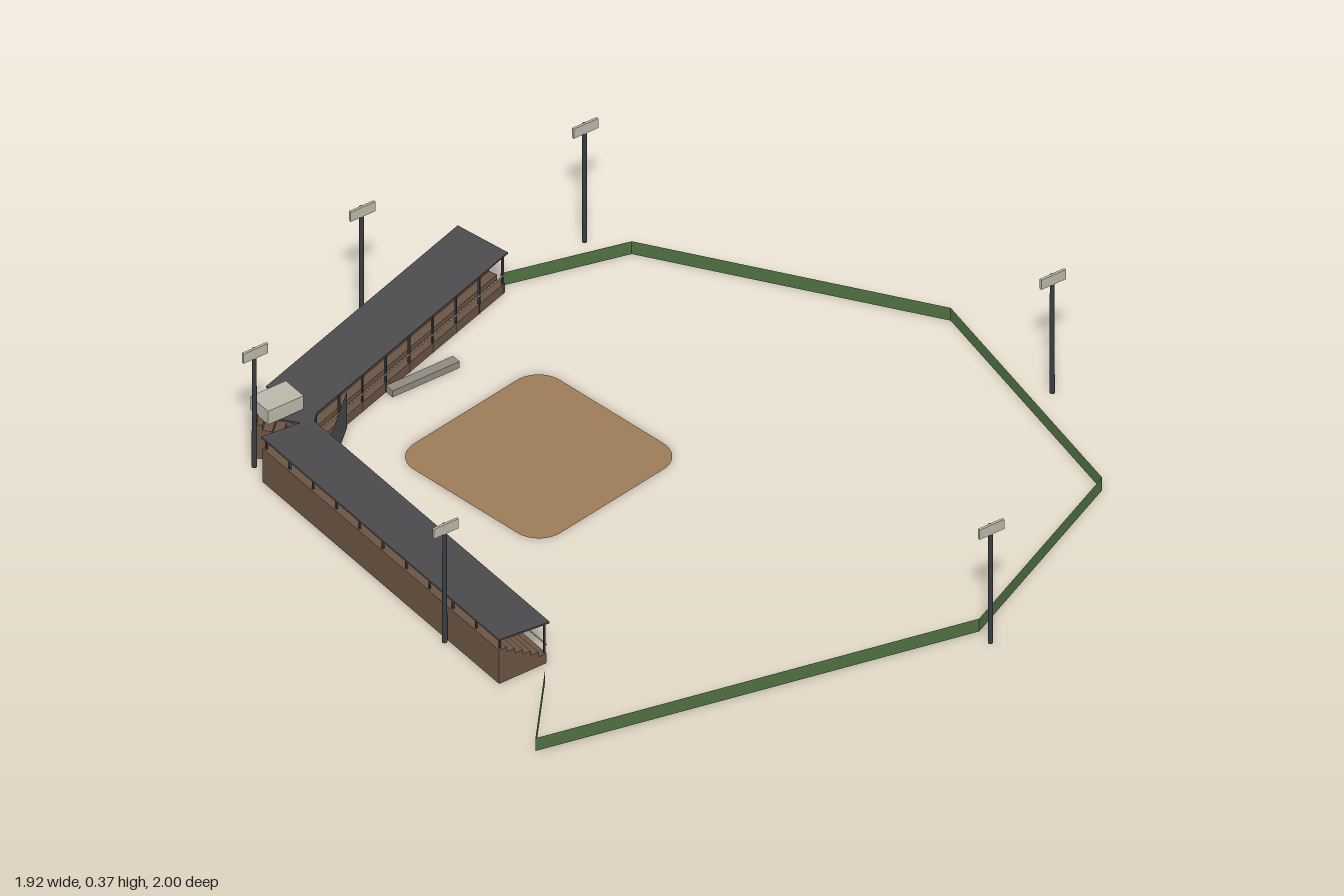
import * as THREE from 'three';

const mat = (name, color, extra = {}) => Object.assign(new THREE.MeshStandardMaterial({ color, ...extra }), { name });

export function createModel() {
  const model = new THREE.Group();
  model.name = 'ballpark';
  const green = mat('fence green', 0x4f7040, { side: THREE.DoubleSide });
  const dirt = mat('infield dirt', 0x9c7c58, { side: THREE.DoubleSide });
  const brown = mat('stand brown', 0x6b5443);
  const roofGrey = mat('roof grey', 0x4b4b4d);
  const screenGrey = mat('screen grey', 0x4d4d4f, { side: THREE.DoubleSide });
  const steel = mat('dark steel', 0x3a3d40);
  const light = mat('pale panel', 0xbab6a8);
  const bench = mat('dugout grey', 0x8f8a80);
  const glass = mat('window dark', 0x35383a);

  const add = (parent, name, geometry, material, x = 0, y = 0, z = 0) => {
    const mesh = new THREE.Mesh(geometry, material);
    mesh.name = name;
    mesh.position.set(x, y, z);
    parent.add(mesh);
    return mesh;
  };
  const box = (parent, name, material, w, h, d, x, y, z) =>
    add(parent, name, new THREE.BoxGeometry(w, h, d), material, x, y, z);

  // thin vertical sheet between two ground points
  const sheet = (name, material, [x0, z0], [x1, z1], h) => {
    const g = new THREE.PlaneGeometry(Math.hypot(x1 - x0, z1 - z0), h);
    const m = add(model, name, g, material, (x0 + x1) / 2, h / 2, (z0 + z1) / 2);
    m.rotation.y = -Math.atan2(z1 - z0, x1 - x0);
  };

  // outfield fence
  const fence = [[-0.785, 0.48], [-0.965, 0.69], [0.21, 0.94], [0.79, 0.655],
    [0.885, -0.12], [0.4, -0.8], [0.06, -0.885]];
  for (let i = 0; i + 1 < fence.length; i++) sheet('outfieldFence', green, fence[i], fence[i + 1], 0.04);

  // infield: rounded square, slightly turned
  const s = 0.256, r = 0.075;
  const square = new THREE.Shape();
  square.absarc(s - r, s - r, r, 0, Math.PI / 2);
  square.absarc(r - s, s - r, r, Math.PI / 2, Math.PI);
  square.absarc(r - s, r - s, r, Math.PI, Math.PI * 1.5);
  square.absarc(s - r, r - s, r, Math.PI * 1.5, Math.PI * 2);
  const infield = new THREE.ShapeGeometry(square, 8).rotateX(-Math.PI / 2).rotateY(0.164);
  add(model, 'infield', infield, dirt, -0.265, 0.001, -0.27);

  // covered stand: stepped seating, sloping roof, posts and front rail; local +z faces the field
  const stand = (name, x, z, length, facing, bays) => {
    const g = new THREE.Group();
    g.name = name;
    g.position.set(x, 0, z);
    g.rotation.y = facing;
    model.add(g);

    const steps = 6, back = -0.075, front = 0.07, low = 0.03, high = 0.105;
    const profile = new THREE.Shape();
    profile.moveTo(back, 0);
    profile.lineTo(front, 0);
    for (let i = 0; i < steps; i++) {
      const y = low + (high - low) * i / (steps - 1);
      profile.lineTo(front + (back - front) * i / steps, y);
      profile.lineTo(front + (back - front) * (i + 1) / steps, y);
    }
    profile.closePath();
    const seats = new THREE.ExtrudeGeometry(profile, { depth: length, bevelEnabled: false });
    seats.translate(0, 0, -length / 2).rotateY(-Math.PI / 2);
    add(g, 'seating', seats, brown);

    const roof = box(g, 'roof', roofGrey, length + 0.005, 0.005, 0.155, 0, 0.132, 0);
    roof.rotation.x = 0.09;

    for (let i = 0; i <= bays; i++) {
      const px = (i / bays - 0.5) * (length - 0.015);
      box(g, 'frontPost', steel, 0.005, 0.125, 0.005, px, 0.0625, 0.068);
      box(g, 'backPost', steel, 0.005, 0.035, 0.005, px, 0.12, -0.068);
    }
    box(g, 'frontRail', light, length, 0.003, 0.003, 0, 0.057, 0.07);
  };
  stand('sideStand', -0.805, -0.085, 1.005, Math.PI / 2, 10);
  stand('backStand', -0.3475, -0.8, 0.8, 0.316, 8);
  stand('cornerStand', -0.768, -0.647, 0.065, 0.75, 1);

  // backstop screen across the corner
  sheet('backstop', screenGrey, [-0.72, -0.52], [-0.585, -0.64], 0.115);

  // press box on the corner roof, with a window strip
  box(model, 'pressBox', light, 0.108, 0.042, 0.075, -0.782, 0.157, -0.662);
  box(model, 'pressBoxWindow', glass, 0.004, 0.02, 0.06, -0.728, 0.159, -0.662);

  // dugouts
  box(model, 'backDugout', bench, 0.205, 0.02, 0.028, -0.317, 0.01, -0.69);
  box(model, 'sideDugout', bench, 0.028, 0.02, 0.22, -0.724, 0.01, -0.175);

  // floodlights
  const lights = [[-0.86, -0.65], [-0.31, -0.96], [0.335, -0.91], [0.92, 0.262], [0.207, 0.992], [-0.89, 0.2]];
  for (const [x, z] of lights) {
    const g = new THREE.Group();
    g.name = 'floodlight';
    g.position.set(x, 0, z);
    model.add(g);
    add(g, 'pole', new THREE.CylinderGeometry(0.006, 0.007, 0.37, 10), steel, 0, 0.185, 0);
    box(g, 'lampPanel', light, 0.075, 0.03, 0.007, 0, 0.358, 0.003);
  }
  return model;
}
